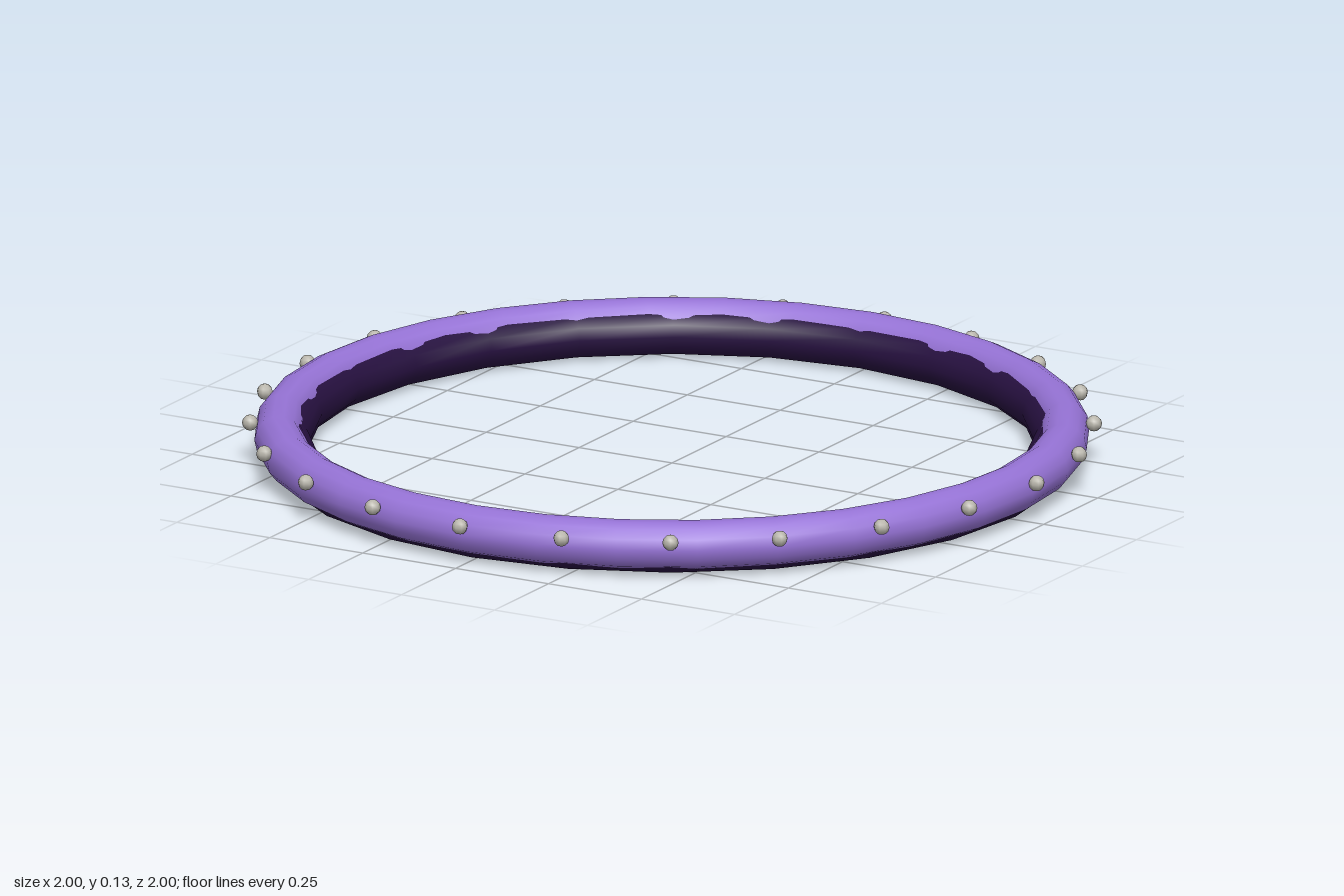
import * as THREE from 'three';

// Horizontal ring standing at height y
function ring(name, radius, tube, y, sides, segments, material) {
  const geometry = new THREE.TorusGeometry(radius, tube, sides, segments);
  geometry.rotateX(-Math.PI / 2);
  const mesh = new THREE.Mesh(geometry, material);
  mesh.name = name;
  mesh.position.y = y;
  return mesh;
}

export function createModel() {
  const purple = new THREE.MeshStandardMaterial({ name: 'purple', color: 0x9673d6 });
  const darkPurple = new THREE.MeshStandardMaterial({ name: 'dark purple', color: 0x26103f });
  const silver = new THREE.MeshStandardMaterial({ name: 'silver', color: 0xb9b6ac });

  const model = new THREE.Group();
  model.name = 'studdedRing';

  // Bright outer band, with a dark lining showing on its inside and underside
  model.add(ring('outerBand', 0.916, 0.057, 0.073, 14, 32, purple));
  model.add(ring('innerLining', 0.897, 0.055, 0.055, 12, 24, darkPurple));

  // Small studs evenly spaced around the outside
  const studs = new THREE.Group();
  studs.name = 'studs';
  const studGeometry = new THREE.SphereGeometry(0.019, 8, 6);
  const count = 24;
  for (let i = 0; i < count; i++) {
    const angle = (i / count) * Math.PI * 2;
    const stud = new THREE.Mesh(studGeometry, silver);
    stud.name = 'stud';
    stud.position.set(Math.sin(angle) * 0.981, 0.097, Math.cos(angle) * 0.981);
    stud.rotation.y = angle;
    studs.add(stud);
  }
  model.add(studs);
  return model;
}
